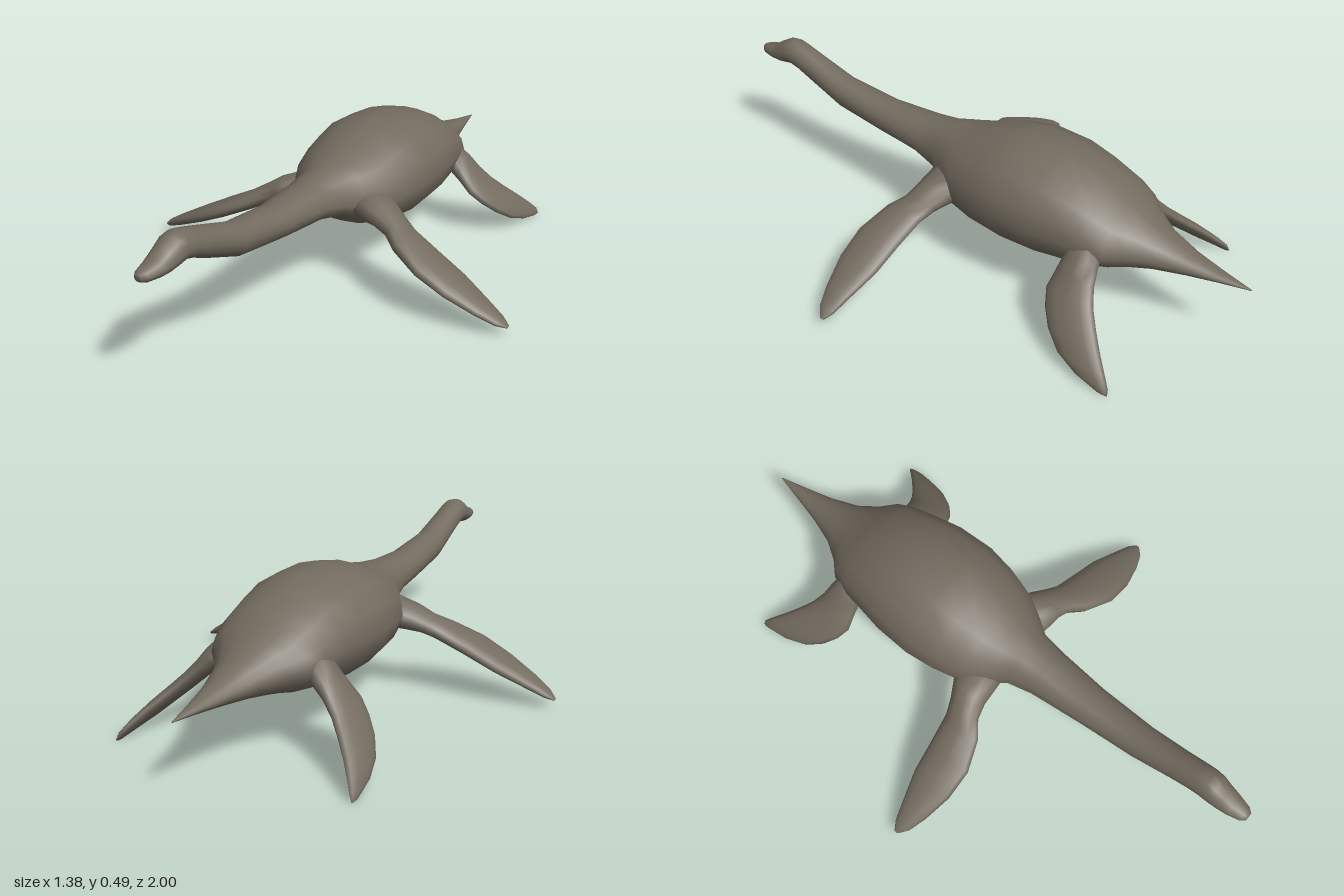
import * as THREE from 'three';

// Skin a list of rings (each counter-clockwise seen from the start end) and cap both ends
function loft(rings) {
  const n = rings[0].length, pos = [], idx = [];
  rings.forEach(r => r.forEach(p => pos.push(p.x, p.y, p.z)));
  const centre = r => {
    const c = new THREE.Vector3();
    r.forEach(p => c.add(p));
    c.divideScalar(n);
    pos.push(c.x, c.y, c.z);
    return pos.length / 3 - 1;
  };
  const last = rings.length - 1;
  const start = centre(rings[0]), end = centre(rings[last]);
  for (let i = 0; i < n; i++) {
    const k = (i + 1) % n;
    for (let j = 0; j < last; j++) {
      const a = j * n + i, b = j * n + k, c = a + n, d = b + n;
      idx.push(a, c, b, b, c, d);
    }
    idx.push(start, i, k, end, last * n + k, last * n + i);
  }
  const g = new THREE.BufferGeometry();
  g.setAttribute('position', new THREE.Float32BufferAttribute(pos, 3));
  g.setIndex(idx);
  g.computeVertexNormals();
  return g;
}

const angles = n => Array.from({ length: n }, (_, i) => (i / n) * Math.PI * 2);

// Station: z, top y, bottom y, y of the widest point, half width
const bodyRing = ([z, top, bottom, mid, w]) => angles(16).map(a => {
  const s = Math.sin(a);
  return new THREE.Vector3(w * Math.cos(a), mid + s * (s > 0 ? top - mid : mid - bottom), z);
});

// Station: x, y, z of the centre, half chord, half thickness
function flipper(stations, side) {
  return loft(stations.map(([x, y, z, chord, thick], j) => {
    const p = stations[Math.max(j - 1, 0)], q = stations[Math.min(j + 1, stations.length - 1)];
    const up = new THREE.Vector2(p[1] - q[1], q[0] - p[0]).normalize();
    const ring = angles(12).map(a => {
      const t = Math.sin(a) * thick;
      return new THREE.Vector3(side * (x + up.x * t), y + up.y * t, z + Math.cos(a) * chord);
    });
    return side < 0 ? ring.reverse() : ring;
  }));
}

// Head and neck, snout first
const HEAD_NECK = [
  [1.0, 0.425, 0.402, 0.412, 0.014],
  [0.985, 0.432, 0.395, 0.412, 0.027],
  [0.94, 0.444, 0.39, 0.415, 0.039],
  [0.905, 0.468, 0.39, 0.42, 0.044],
  [0.87, 0.488, 0.394, 0.435, 0.049],
  [0.84, 0.492, 0.4, 0.44, 0.05],
  [0.8, 0.481, 0.388, 0.432, 0.05],
  [0.74, 0.462, 0.36, 0.41, 0.051],
  [0.6, 0.415, 0.304, 0.36, 0.058],
  [0.4, 0.391, 0.28, 0.335, 0.07],
  [0.22, 0.398, 0.268, 0.325, 0.088],
];

// Trunk and tail, shoulders first
const TRUNK_TAIL = [
  [0.13, 0.412, 0.248, 0.305, 0.105],
  [0.07, 0.424, 0.215, 0.29, 0.15],
  [0.0, 0.438, 0.175, 0.285, 0.192],
  [-0.1, 0.474, 0.145, 0.295, 0.22],
  [-0.2, 0.491, 0.131, 0.305, 0.235],
  [-0.33, 0.486, 0.133, 0.305, 0.23],
  [-0.43, 0.462, 0.145, 0.3, 0.212],
  [-0.52, 0.425, 0.165, 0.29, 0.197],
  [-0.58, 0.385, 0.185, 0.28, 0.175],
  [-0.63, 0.356, 0.194, 0.272, 0.128],
  [-0.7, 0.322, 0.207, 0.262, 0.085],
  [-0.8, 0.289, 0.223, 0.256, 0.051],
  [-0.9, 0.268, 0.238, 0.253, 0.026],
  [-1.0, 0.253, 0.249, 0.251, 0.002],
];

const FRONT_FLIPPER = [
  [0.11, 0.29, 0.02, 0.09, 0.055],
  [0.2, 0.268, 0.045, 0.068, 0.045],
  [0.25, 0.247, 0.065, 0.06, 0.034],
  [0.3, 0.222, 0.095, 0.07, 0.031],
  [0.4, 0.176, 0.12, 0.082, 0.029],
  [0.5, 0.128, 0.125, 0.076, 0.025],
  [0.6, 0.08, 0.127, 0.05, 0.019],
  [0.66, 0.05, 0.124, 0.03, 0.013],
  [0.69, 0.035, 0.12, 0.008, 0.004],
];

const REAR_FLIPPER = [
  [0.13, 0.295, -0.5, 0.06, 0.05],
  [0.19, 0.25, -0.52, 0.062, 0.04],
  [0.23, 0.212, -0.525, 0.07, 0.03],
  [0.27, 0.172, -0.535, 0.085, 0.026],
  [0.31, 0.132, -0.565, 0.092, 0.024],
  [0.35, 0.092, -0.605, 0.093, 0.022],
  [0.385, 0.052, -0.655, 0.084, 0.018],
  [0.405, 0.025, -0.705, 0.058, 0.012],
  [0.413, 0.006, -0.748, 0.018, 0.005],
];

export function createModel() {
  const model = new THREE.Group();
  model.name = 'swimmingReptile';
  const skin = new THREE.MeshStandardMaterial({ color: 0x736b5f });
  skin.name = 'greyBrownSkin';
  const add = (name, geometry) => {
    const mesh = new THREE.Mesh(geometry, skin);
    mesh.name = name;
    model.add(mesh);
  };

  // One continuous skin from snout to tail tip
  add('headNeckBodyTail', loft([...HEAD_NECK, ...TRUNK_TAIL].map(bodyRing)));

  // Two mirrored pairs of flippers
  for (const [label, side] of [['left', 1], ['right', -1]]) {
    add(label + 'FrontFlipper', flipper(FRONT_FLIPPER, side));
    add(label + 'RearFlipper', flipper(REAR_FLIPPER, side));
  }
  return model;
}
